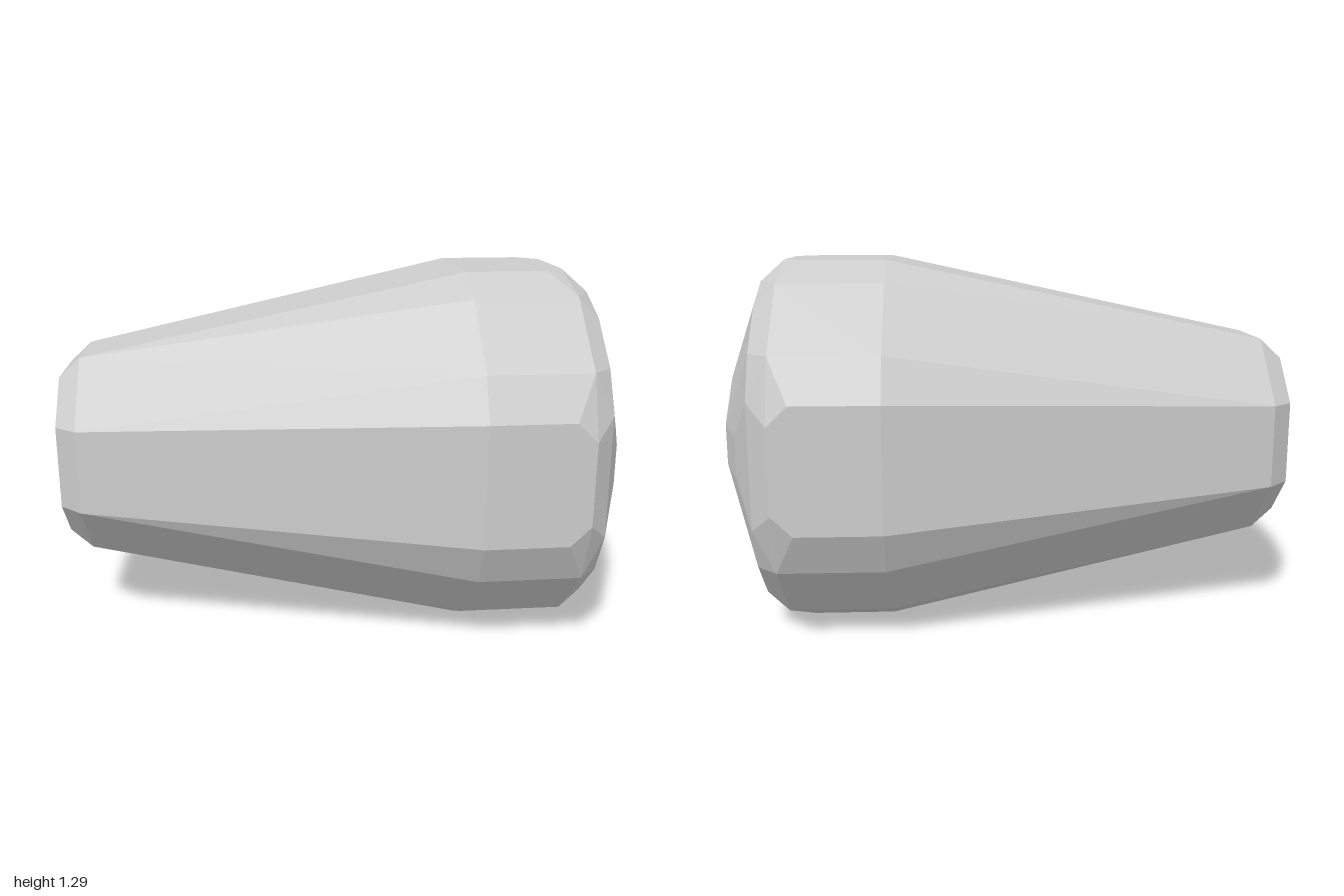
import * as THREE from 'three';
import { ConvexGeometry } from 'three/addons/geometries/ConvexGeometry.js';

const CENTRE_Y = 0.645;

// Corners of one eighth of the faceted body: [x along the axis, offset along a side, distance from the axis]
const PROFILE = [
  // narrow end with its chamfer
  [-1.0, 0.143, 0.285],
  [-0.925, 0.145, 0.355],
  // shoulder: octagon with bevelled corners
  [0.42, 0.213, 0.645],
  [0.42, 0.36, 0.573],
  // rim of the wide end
  [0.71, 0.213, 0.645],
  [0.78, 0.145, 0.645],
  [0.78, 0.36, 0.573],
  // chamfer behind the rim
  [0.853, 0.213, 0.573],
  [0.853, 0.36, 0.502],
  // shallow dome and flat tip
  [0.925, 0.072, 0.43],
  [1.0, 0.072, 0.215],
];

// Mirror every corner into all eight sectors around the x axis
function mirroredPoints(profile) {
  const points = [];
  for (const [x, a, b] of profile) {
    for (const s of [-1, 1]) {
      for (const t of [-1, 1]) {
        points.push(new THREE.Vector3(x, CENTRE_Y + s * a, t * b));
        points.push(new THREE.Vector3(x, CENTRE_Y + s * b, t * a));
      }
    }
  }
  return points;
}

export function createModel() {
  const group = new THREE.Group();
  group.name = 'facetedPlug';

  const grey = new THREE.MeshStandardMaterial({ color: 0xcccccc });
  grey.name = 'light grey';

  // Tapered, bevelled body; the hull gives flat facets
  const body = new THREE.Mesh(new ConvexGeometry(mirroredPoints(PROFILE)), grey);
  body.name = 'taperedBody';
  group.add(body);

  return group;
}
